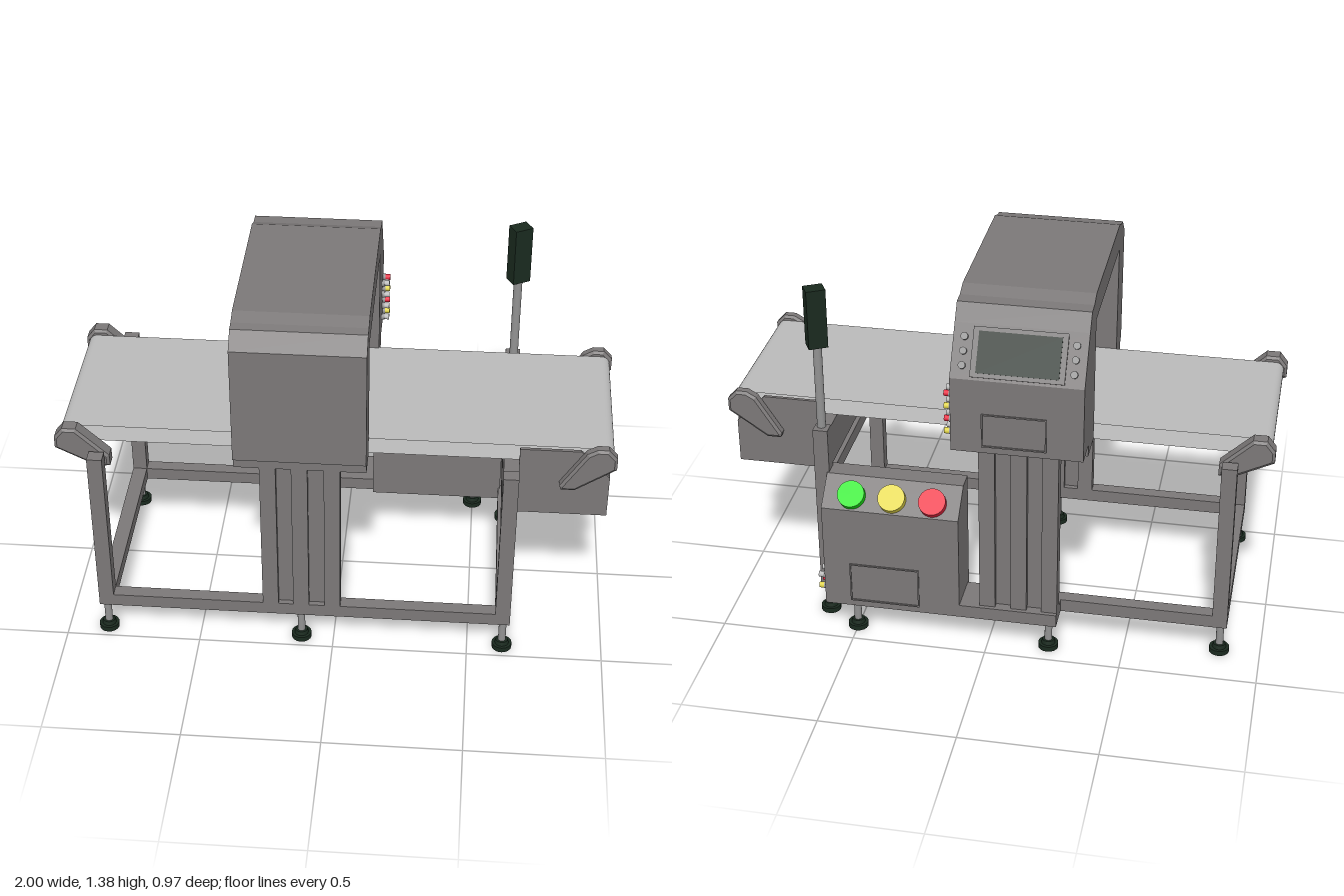
import * as THREE from 'three';

const mat = (name, color) => {
  const m = new THREE.MeshStandardMaterial({ color });
  m.name = name;
  return m;
};

export function createModel() {
  const root = new THREE.Group();
  root.name = 'conveyorInspectionMachine';
  const body = mat('painted steel', 0x7b7878);
  const belt = mat('belt light grey', 0xbababa);
  belt.side = THREE.DoubleSide;
  const metal = mat('bare metal', 0x929292);
  const dark = mat('dark green black', 0x1a2a1f);
  const red = mat('red', 0xe8263e);
  const yellow = mat('yellow', 0xe0d446);
  const green = mat('green', 0x18e412);

  const add = (name, geo, m, parent = root) => {
    const mesh = new THREE.Mesh(geo, m);
    mesh.name = name;
    parent.add(mesh);
    return mesh;
  };
  // box given by its limits on each axis
  const box = (name, m, x0, x1, y0, y1, z0, z1, parent = root) => {
    const mesh = add(name, new THREE.BoxGeometry(x1 - x0, y1 - y0, z1 - z0), m, parent);
    mesh.position.set((x0 + x1) / 2, (y0 + y1) / 2, (z0 + z1) / 2);
    return mesh;
  };
  const cyl = (name, m, r0, r1, h, x, y, z, axis = 'y', sides = 20, parent = root) => {
    const g = new THREE.CylinderGeometry(r0, r1, h, sides);
    if (axis === 'x') g.rotateZ(-Math.PI / 2);
    if (axis === 'z') g.rotateX(Math.PI / 2);
    const mesh = add(name, g, m, parent);
    mesh.position.set(x, y, z);
    return mesh;
  };
  const shapeOf = pts => new THREE.Shape(pts.map(p => new THREE.Vector2(p[0], p[1])));
  const extrude = (pts, depth) =>
    new THREE.ExtrudeGeometry(shapeOf(pts), { depth, bevelEnabled: false });
  // (z, y) profile swept from x0 to x1
  const sweepX = (name, m, pts, x0, x1) =>
    add(name, extrude(pts, x1 - x0).rotateY(-Math.PI / 2).translate(x1, 0, 0), m);

  // base frame
  box('frontRail', body, -0.875, 0.655, 0.125, 0.175, 0.42, 0.47);
  box('backRail', body, -0.875, 0.655, 0.125, 0.175, -0.36, -0.31);
  for (const [x0, x1] of [[-0.875, -0.82], [0.6, 0.655]]) {
    box('endRail', body, x0, x1, 0.125, 0.175, -0.31, 0.42);
    for (const [z0, z1] of [[0.42, 0.47], [-0.36, -0.31]])
      box('cornerPost', body, x0, x1, 0.175, 0.8, z0, z1);
  }
  box('lowerCrossBeam', body, 0.6, 0.655, 0.555, 0.607, -0.31, 0.42);
  box('upperCrossBeam', body, 0.6, 0.655, 0.64, 0.795, -0.31, 0.42);
  box('baseExtension', body, -0.26, 0.1, 0.125, 0.175, -0.465, -0.36);

  // levelling feet
  for (const [x, z] of [[-0.85, 0.445], [-0.12, 0.445], [0.63, 0.445], [-0.85, -0.325],
    [0.63, -0.325], [-0.225, -0.415], [0.5, -0.415]]) {
    const foot = new THREE.Group();
    foot.name = 'foot';
    foot.position.set(x, 0, z);
    root.add(foot);
    cyl('footPad', dark, 0.037, 0.037, 0.02, 0, 0.01, 0, 'y', 16, foot);
    cyl('footCollar', dark, 0.022, 0.026, 0.015, 0, 0.0275, 0, 'y', 16, foot);
    cyl('footStem', metal, 0.014, 0.014, 0.095, 0, 0.08, 0, 'y', 16, foot);
  }

  // support columns with a recessed web between them
  for (const [z0, z1, top] of [[0.42, 0.47, 0.8], [-0.45, -0.395, 0.845]]) {
    for (const x of [-0.26, -0.147, -0.031])
      box('supportColumn', body, x, x + 0.058, 0.175, top, z0, z1);
    const zm = (z0 + z1) / 2;
    box('columnWeb', body, -0.21, -0.02, 0.175, top, zm - 0.005, zm + 0.005);
  }

  // arch-shaped detector head
  sweepX('detectorHead', body, [
    [0.49, 0.845], [0.49, 1.3], [0.435, 1.355], [0.4, 1.36], [0.352, 1.378], [-0.235, 1.378],
    [-0.285, 1.357], [-0.335, 1.355], [-0.375, 1.295], [-0.478, 1.13], [-0.478, 0.845],
    [-0.23, 0.845], [-0.23, 1.275], [0.355, 1.275], [0.355, 0.845]], -0.35, 0.12);
  box('headSkirtFront', body, -0.35, 0.12, 0.8, 0.845, 0.355, 0.47);
  box('headSkirtBack', body, -0.35, 0.12, 0.8, 0.845, -0.36, -0.23);

  // sloping control panel with screen and keys
  const panel = new THREE.Group();
  panel.name = 'controlPanel';
  panel.position.set(-0.115, 1.213, -0.4265);
  panel.rotation.x = -1.013;
  root.add(panel);
  box('screenFrame', body, -0.165, 0.165, 0, 0.007, -0.088, 0.088, panel);
  box('screen', dark, -0.145, 0.145, 0.007, 0.01, -0.073, 0.073, panel);
  for (const x of [-0.195, 0.195])
    for (const z of [-0.05, 0, 0.05])
      cyl('panelKey', metal, 0.013, 0.013, 0.014, x, 0.005, z, 'y', 14, panel);

  // thin raised door outlines on the back
  const doorOutline = (x0, x1, y0, y1, z) => {
    const s = shapeOf([[x0, y0], [x1, y0], [x1, y1], [x0, y1]]);
    const t = 0.005;
    s.holes.push(new THREE.Path([[x0 + t, y0 + t], [x0 + t, y1 - t], [x1 - t, y1 - t],
      [x1 - t, y0 + t]].map(p => new THREE.Vector2(...p))));
    add('doorOutline', new THREE.ExtrudeGeometry(s, { depth: 0.005, bevelEnabled: false }), body)
      .position.z = z - 0.005;
  };
  doorOutline(-0.22, 0.01, 0.87, 1.0, -0.478);
  doorOutline(0.25, 0.51, 0.15, 0.31, -0.465);

  // electrical cabinet with sloping top and three large push buttons
  sweepX('cabinet', body, [[-0.29, 0.125], [-0.29, 0.63], [-0.365, 0.63], [-0.465, 0.54],
    [-0.465, 0.125]], 0.1, 0.607);
  [[0.2, red], [0.35, yellow], [0.5, green]].forEach(([x, m]) => {
    cyl('pushButton', m, 0.05, 0.05, 0.03, x, 0.588, -0.433, 'y', 28).rotation.x = -0.733;
  });

  // side connectors: inner column plain, outer column coloured
  const connector = (x, y, z, m) => {
    cyl('connectorBody', metal, 0.013, 0.013, 0.01, x + 0.005, y, z, 'x', 14);
    cyl('connectorTip', m, 0.011, 0.011, 0.018, x + 0.019, y, z, 'x', 14);
  };
  [1.05, 1.0, 0.95, 0.9].forEach((y, i) => {
    connector(0.12, y, -0.395, belt);
    connector(0.12, y, -0.44, i % 2 ? yellow : red);
  });
  connector(0.607, 0.233, -0.39, belt);
  connector(0.607, 0.233, -0.44, belt);
  connector(0.607, 0.185, -0.39, red);
  connector(0.607, 0.185, -0.44, yellow);

  // signal tower
  cyl('towerPole', metal, 0.016, 0.016, 0.34, 0.63, 0.97, -0.325);
  const lamp = add('towerLamp', new THREE.BoxGeometry(0.07, 0.225, 0.055), dark);
  lamp.position.set(0.63, 1.243, -0.328);
  lamp.rotation.y = 0.5;

  // belt loop: upper and lower runs around two end rollers
  for (const [name, y] of [['beltTop', 0.863], ['beltReturn', 0.801]])
    add(name, new THREE.PlaneGeometry(1.914, 0.585).rotateX(-Math.PI / 2), belt)
      .position.set(0, y, 0.0575);
  for (const x of [-0.957, 0.957])
    cyl('endRoller', belt, 0.031, 0.031, 0.585, x, 0.832, 0.0575, 'z', 24);

  // tapered roller arms with chamfered faces
  const rollerArms = (pts, w) => {
    const geo = new THREE.ExtrudeGeometry(shapeOf(pts), { depth: w - 0.016, bevelSize: 0.01,
      bevelOffset: -0.01, bevelThickness: 0.008, bevelSegments: 1 });
    for (const z of [0.35, -0.235 - w]) add('rollerArm', geo, body).position.z = z + 0.008;
  };
  rollerArms([[0.8, 0.72], [0.805, 0.703], [0.855, 0.703], [0.997, 0.8], [0.997, 0.848],
    [0.965, 0.882], [0.925, 0.882], [0.89, 0.862]], 0.042);
  rollerArms([[-0.805, 0.73], [-0.85, 0.725], [-1, 0.8], [-1, 0.845], [-0.97, 0.883],
    [-0.92, 0.883], [-0.806, 0.775]], 0.06);

  // open drive housing under the discharge end
  const sidePts = [[0.655, 0.572], [0.978, 0.572], [0.978, 0.74], [0.87, 0.85], [0.655, 0.85]];
  for (const z of [0.343, -0.238])
    add('housingSide', extrude(sidePts, 0.012), body).position.z = z;
  box('housingFloor', body, 0.655, 0.978, 0.572, 0.59, -0.226, 0.343);
  box('housingRoof', body, 0.655, 0.978, 0.735, 0.752, -0.226, 0.343);
  box('housingBackWall', body, 0.655, 0.8, 0.59, 0.735, -0.226, 0.343);
  for (const z of [0.27, -0.165])
    box('housingRib', body, 0.8, 0.95, 0.59, 0.735, z - 0.006, z + 0.006);

  return root;
}
